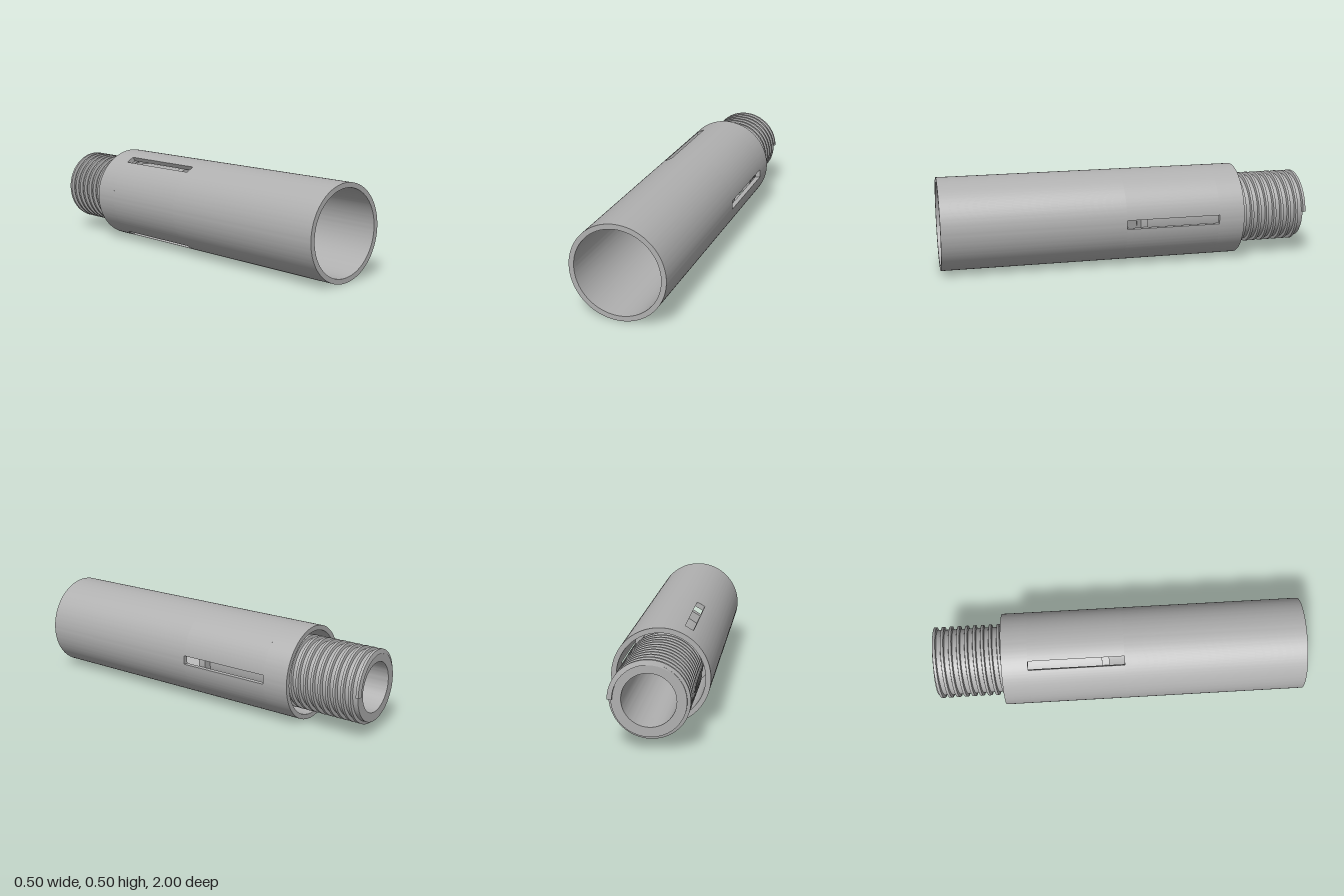
import * as THREE from 'three';
import { toCreasedNormals } from 'three/addons/utils/BufferGeometryUtils.js';

const OUTER = 0.248, INNER = 0.222, SLOT_HALF = 0.024;
const SLOT_BACK = -0.48, SLOT_FRONT = 0.03;

export function createModel() {
  const grey = new THREE.MeshStandardMaterial({ color: 0xb0b0b0 });
  grey.name = 'grey';

  const model = new THREE.Group();
  model.name = 'threadedTubeAssembly';
  const body = new THREE.Group();
  body.name = 'body';
  body.position.y = OUTER;
  model.add(body);

  const add = (name, geometry) => {
    const mesh = new THREE.Mesh(toCreasedNormals(geometry, 0.5), grey);
    mesh.name = name;
    body.add(mesh);
    return mesh;
  };
  const extrude = (shape, z0, z1, curveSegments) =>
    new THREE.ExtrudeGeometry(shape, { depth: z1 - z0, bevelEnabled: false, curveSegments })
      .translate(0, 0, z0);

  // Plain sleeve sections in front of and behind the slots
  const ring = new THREE.Shape().absarc(0, 0, OUTER, 0, Math.PI * 2, false);
  ring.holes.push(new THREE.Path().absarc(0, 0, INNER, 0, Math.PI * 2, true));
  add('sleeveFront', extrude(ring, SLOT_FRONT, 1, 96));
  add('sleeveBack', extrude(ring, -0.62, SLOT_BACK, 96));

  // Slotted sleeve section: three walls with parallel-sided gaps between them
  const third = Math.PI * 2 / 3;
  const outerGap = Math.asin(SLOT_HALF / OUTER), innerGap = Math.asin(SLOT_HALF / INNER);
  for (let i = 0; i < 3; i++) {
    const a = i * third, b = a + third;
    const wall = new THREE.Shape();
    wall.absarc(0, 0, OUTER, a + outerGap, b - outerGap, false);
    wall.absarc(0, 0, INNER, b - innerGap, a + innerGap, true);
    wall.closePath();
    add('sleeveSlotWall' + (i + 1), extrude(wall, SLOT_BACK, SLOT_FRONT, 32));
  }

  // Hollow rod with a guide flange and a shallow ring groove on its front face
  const profile = [
    [0, -0.1], [0.13, -0.1], [0.13, -0.985], [0.178, -0.985], [0.178, -0.09],
    [0.2215, -0.09], [0.2215, -0.05], [0.135, -0.05], [0.135, -0.06],
    [0.13, -0.06], [0.13, -0.05], [0, -0.05],
  ].map(([r, z]) => new THREE.Vector2(r, z));
  add('rod', new THREE.LatheGeometry(profile, 96).rotateX(Math.PI / 2));

  // Screw thread wound around the rod
  add('thread', threadGeometry(-0.988, 0.0427, 11.5));
  return model;
}

// Sweeps a trapezoid along a helix from the back end forwards
function threadGeometry(z0, pitch, turns) {
  const section = [[0.17, -0.012], [0.194, -0.007], [0.194, 0.007], [0.17, 0.012]];
  const steps = Math.round(turns * 72), positions = [], index = [];
  for (let i = 0; i <= steps; i++) {
    const t = (i / steps) * turns, a = t * Math.PI * 2;
    for (const [r, dz] of section) {
      positions.push(r * Math.cos(a), r * Math.sin(a), z0 + pitch * t + dz);
    }
  }
  for (let i = 0; i < steps; i++) {
    for (let j = 0; j < 4; j++) {
      const a = i * 4 + j, b = i * 4 + (j + 1) % 4;
      index.push(a, a + 4, b, b, a + 4, b + 4);
    }
  }
  const e = steps * 4;
  index.push(0, 1, 2, 0, 2, 3, e, e + 2, e + 1, e, e + 3, e + 2);
  const geometry = new THREE.BufferGeometry();
  geometry.setAttribute('position', new THREE.Float32BufferAttribute(positions, 3));
  geometry.setIndex(index);
  return geometry;
}
